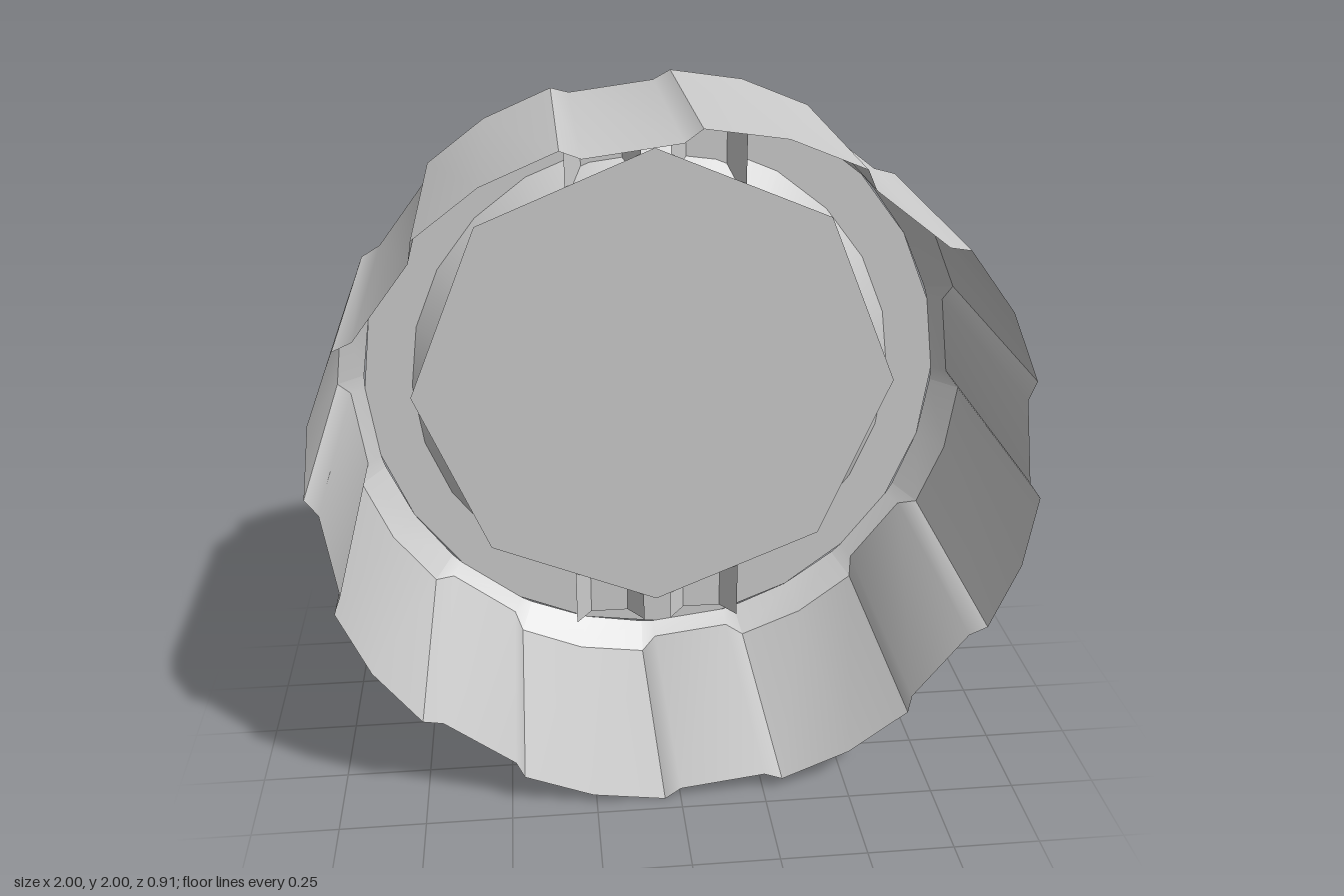
import * as THREE from 'three';

const RIM_Z = -0.42, DISC_Z = -0.32, OPEN_Z = 0.457, RIM_R = 0.925;
const material = new THREE.MeshStandardMaterial({ color: 0xcccccc, side: THREE.DoubleSide });
const flatMaterial = new THREE.MeshStandardMaterial({ color: 0xcccccc, side: THREE.DoubleSide, flatShading: true });

// Surface between rows of points
function loft(rows) {
  const n = rows[0].length, index = [];
  for (let i = 0; i < rows.length - 1; i++) {
    for (let j = 0; j < n - 1; j++) {
      const a = i * n + j, c = a + n;
      index.push(a, a + 1, c, a + 1, c + 1, c);
    }
  }
  const geometry = new THREE.BufferGeometry().setFromPoints(rows.flat());
  geometry.setIndex(index);
  geometry.computeVertexNormals();
  return geometry;
}

// Point on the wheel at an angle in degrees
function polar(degrees, r, z) {
  const a = THREE.MathUtils.degToRad(degrees);
  return new THREE.Vector3(r * Math.cos(a), r * Math.sin(a), z);
}

// Surface of revolution about the wheel's axis, each profile step with its own crisp edges
function revolve(name, profile, segments) {
  const part = new THREE.Group();
  part.name = name;
  for (let i = 0; i < profile.length - 1; i++) {
    const points = [profile[i], profile[i + 1]].map(([r, z]) => new THREE.Vector2(r, z));
    const mesh = new THREE.Mesh(new THREE.LatheGeometry(points, segments).rotateX(Math.PI / 2), material);
    mesh.name = `${name}Surface`;
    part.add(mesh);
  }
  return part;
}

export function createModel() {
  const wheel = new THREE.Group();
  wheel.name = 'wheel';
  const add = (name, geometry, mat = material) => {
    const mesh = new THREE.Mesh(geometry, mat);
    mesh.name = name;
    wheel.add(mesh);
  };

  // Open tread shell: eight ridges and eight shallow grooves, as [angle, radius]
  const ridge = [[-2.7, 1], [-15, 1.003], [-27.3, 1]];
  const groove = [[-27.3, 1], [-30, 0.965], [-45, 0.965], [-47.7, 1]];
  for (let k = 0; k < 8; k++) {
    for (const [name, strip] of [['treadRidge', ridge], ['treadGroove', groove]]) {
      const row = (radius, z) => strip.map(([a, r]) => polar(a + k * 45, radius(r), z(r)));
      const chamferZ = r => RIM_Z + (r - RIM_R);
      const front = row(r => r, () => OPEN_Z);
      const back = row(r => r, chamferZ);
      const rim = row(() => RIM_R, () => RIM_Z);
      add(name, loft([front, back]));
      add(`${name}Chamfer`, loft([back, rim]));
    }
  }

  // Flat rim and the sloping wall down to the recessed disc
  wheel.add(revolve('rim', [[0.675, DISC_Z], [0.775, RIM_Z], [RIM_R, RIM_Z]], 24));

  // Eight-sided disc closing the recess
  add('disc', new THREE.CircleGeometry(0.775, 8).translate(0, 0, DISC_Z));

  // Hub cap with bevelled edge
  wheel.add(revolve('hubCap', [[0, -0.457], [0.32, -0.457], [0.355, -0.428], [0.355, DISC_Z]], 32));

  // Two upright spokes, each an open tapered channel
  for (const x of [-0.157, 0.163]) {
    const section = [[-0.115, DISC_Z], [-0.063, -0.39], [0.063, -0.39], [0.115, DISC_Z]];
    const row = y => section.map(([dx, z]) => new THREE.Vector3(x + dx, y, z));
    add('spoke', loft([row(-0.855), row(0.855)]).toNonIndexed(), flatMaterial);
  }

  wheel.position.y = 1;
  const model = new THREE.Group();
  model.name = 'wheelModel';
  model.add(wheel);
  return model;
}
